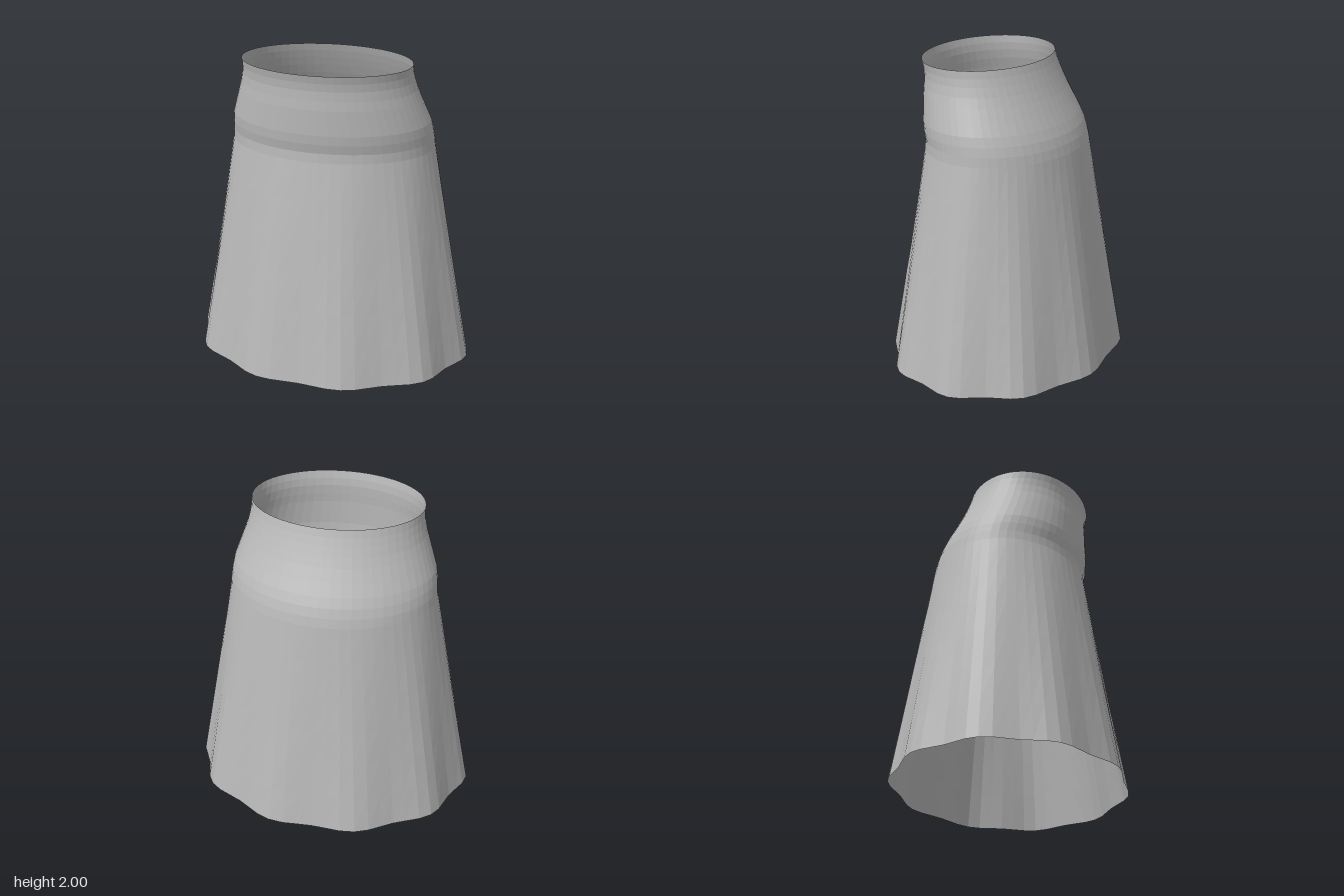
import * as THREE from 'three';

const SEGMENTS = 60;
const LOBES = 10;

// Rings from hem to waist: [height, half width, front z, back z, wave depth]
const HEM = [0, 0.922, 0.7385, -0.7385, 0.025];
const HIP = [1.44, 0.675, 0.503, -0.503, 0];
const YOKE = [
  HIP,
  [1.5, 0.67, 0.499, -0.488, 0],
  [1.56, 0.664, 0.511, -0.467, 0],
  [1.62, 0.653, 0.517, -0.438, 0],
  [1.7, 0.625, 0.518, -0.395, 0],
  [1.78, 0.597, 0.519, -0.354, 0],
  [1.84, 0.577, 0.516, -0.326, 0],
  [1.9, 0.563, 0.515, -0.3, 0],
  [1.95, 0.556, 0.521, -0.28, 0],
  [2, 0.555, 0.533, -0.263, 0],
];

// Ellipse with a scalloped edge
function ringPoint([y, halfWidth, front, back, wave], i) {
  const a = (i / SEGMENTS) * Math.PI * 2;
  const r = 1 + wave * Math.cos(LOBES * a);
  return [
    halfWidth * r * Math.cos(a),
    y,
    (front + back) / 2 + ((front - back) / 2) * r * Math.sin(a),
  ];
}

// Open tube of quads through a list of rings, facing outward
function loft(rings) {
  const positions = [];
  const index = [];
  for (const ring of rings) {
    for (let i = 0; i < SEGMENTS; i++) positions.push(...ringPoint(ring, i));
  }
  for (let k = 0; k < rings.length - 1; k++) {
    for (let i = 0; i < SEGMENTS; i++) {
      const j = (i + 1) % SEGMENTS;
      const a = k * SEGMENTS + i, b = k * SEGMENTS + j;
      const c = a + SEGMENTS, d = b + SEGMENTS;
      index.push(a, c, b, b, c, d);
    }
  }
  const geometry = new THREE.BufferGeometry();
  geometry.setAttribute('position', new THREE.Float32BufferAttribute(positions, 3));
  geometry.setIndex(index);
  const flat = geometry.toNonIndexed();
  flat.computeVertexNormals();
  return flat;
}

export function createModel() {
  const group = new THREE.Group();
  group.name = 'skirt';
  const cloth = new THREE.MeshStandardMaterial({
    color: 0xb8b8b8, flatShading: true, side: THREE.DoubleSide,
  });
  cloth.name = 'grey cloth';

  // Flared lower part, its scallops growing towards the hem
  const panel = [];
  for (let i = 0; i <= 6; i++) {
    panel.push(HEM.map((v, n) => THREE.MathUtils.lerp(v, HIP[n], i / 6)));
  }
  const flare = new THREE.Mesh(loft(panel), cloth);
  flare.name = 'flaredPanel';

  // Fitted part from hip to waist, leaning forward
  const yoke = new THREE.Mesh(loft(YOKE), cloth);
  yoke.name = 'waistYoke';

  group.add(flare, yoke);
  return group;
}
